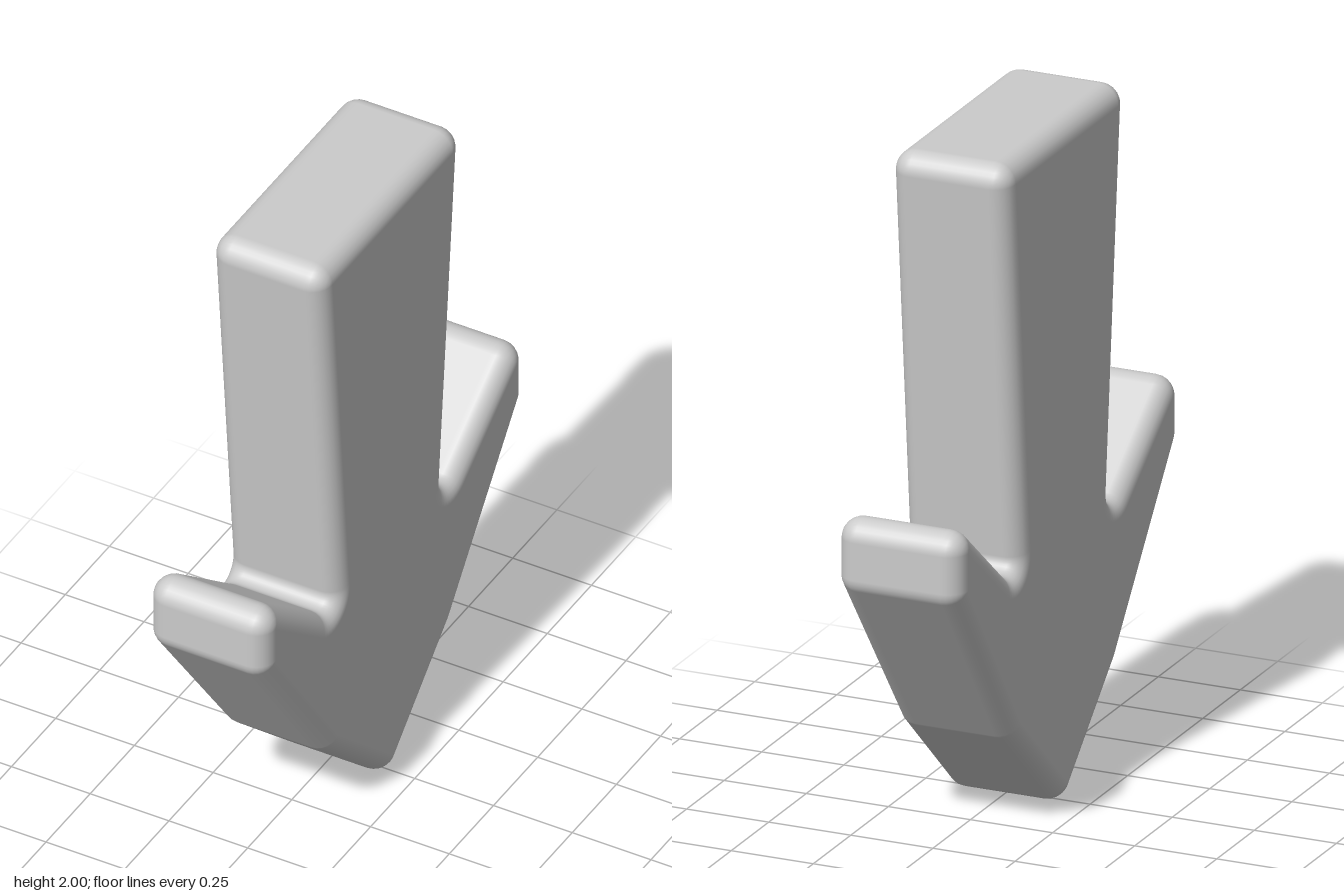
import * as THREE from 'three';

const R = 0.06;   // edge rounding
const H = 0.12;   // half thickness of the flat core
const FLARE = 0.03;

// Half of the arrow's core line: z, y, start and end angle of the normal, fillet radius of an inner corner
const CORNERS = [
  [0, 0.065, -90, -48],          // point
  [0.306, 0.341, -48, -36],      // lower bend
  [0.68, 0.855, -36, 0],         // barb tip, lower
  [0.68, 0.965, 0, 128],         // barb tip, upper
  [0.338, 0.815, 128, -5, 0.035],// notch between barb and shaft
  [0.34, 1.94, -5, 90],          // shaft top
];

function makeOutline() {
  const half = [];
  for (const [z, y, a0, a1, fillet] of CORNERS) {
    const steps = Math.max(2, Math.ceil(Math.abs(a1 - a0) / 12));
    for (let k = 0; k <= steps; k++) {
      const a = THREE.MathUtils.degToRad(a0 + (a1 - a0) * k / steps);
      const nz = Math.cos(a), ny = Math.sin(a);
      const d = fillet ? fillet + R : 0;
      half.push({ z: z - d * nz, y: y - d * ny, nz, ny });
    }
  }
  const mirrored = half.slice(1).reverse().map(p => ({ z: -p.z, y: p.y, nz: -p.nz, ny: p.ny }));
  return [...half, ...mirrored];
}

function makeArrowGeometry() {
  const outline = makeOutline(), n = outline.length;
  const pos = [], nor = [], idx = [];

  // Rows run from the right face round the edge to the left face
  const rows = [], steps = 6;
  for (const side of [-1, 1]) {
    for (let k = 0; k <= steps; k++) {
      const t = (k / steps) * Math.PI / 2;
      rows.push([side, side < 0 ? t - Math.PI / 2 : t]);
    }
  }
  for (const [side, phi] of rows) {
    const c = Math.cos(phi), s = Math.sin(phi);
    for (const p of outline) {
      const widen = FLARE * Math.max(0, Math.abs(p.z) - 0.35);
      pos.push(side * (H + widen) + R * s, p.y + R * c * p.ny, p.z + R * c * p.nz);
      nor.push(s, c * p.ny, c * p.nz);
    }
  }
  for (let j = 0; j < rows.length - 1; j++) {
    for (let i = 0; i < n; i++) {
      const i2 = (i + 1) % n;
      const a = j * n + i, b = a + n, c = (j + 1) * n + i2, d = j * n + i2;
      idx.push(a, b, c, a, c, d);
    }
  }

  // Flat faces, using each core point once
  const unique = [];
  outline.forEach((p, i) => {
    const same = unique.some(u => Math.hypot(outline[u].z - p.z, outline[u].y - p.y) < 1e-6);
    if (!same) unique.push(i);
  });
  const contour = unique.map(i => new THREE.Vector2(outline[i].z, outline[i].y));
  const last = (rows.length - 1) * n;
  for (const [a, b, c] of THREE.ShapeUtils.triangulateShape(contour, [])) {
    const [u, v, w] = [unique[a], unique[b], unique[c]];
    idx.push(u, v, w, last + u, last + w, last + v);
  }

  const geo = new THREE.BufferGeometry();
  geo.setAttribute('position', new THREE.Float32BufferAttribute(pos, 3));
  geo.setAttribute('normal', new THREE.Float32BufferAttribute(nor, 3));
  geo.setIndex(idx);
  return geo;
}

export function createModel() {
  const group = new THREE.Group();
  group.name = 'downArrow';
  const arrow = new THREE.Mesh(makeArrowGeometry(), new THREE.MeshStandardMaterial({ color: 0xcccccc }));
  arrow.name = 'arrowBody';
  group.add(arrow);
  return group;
}
